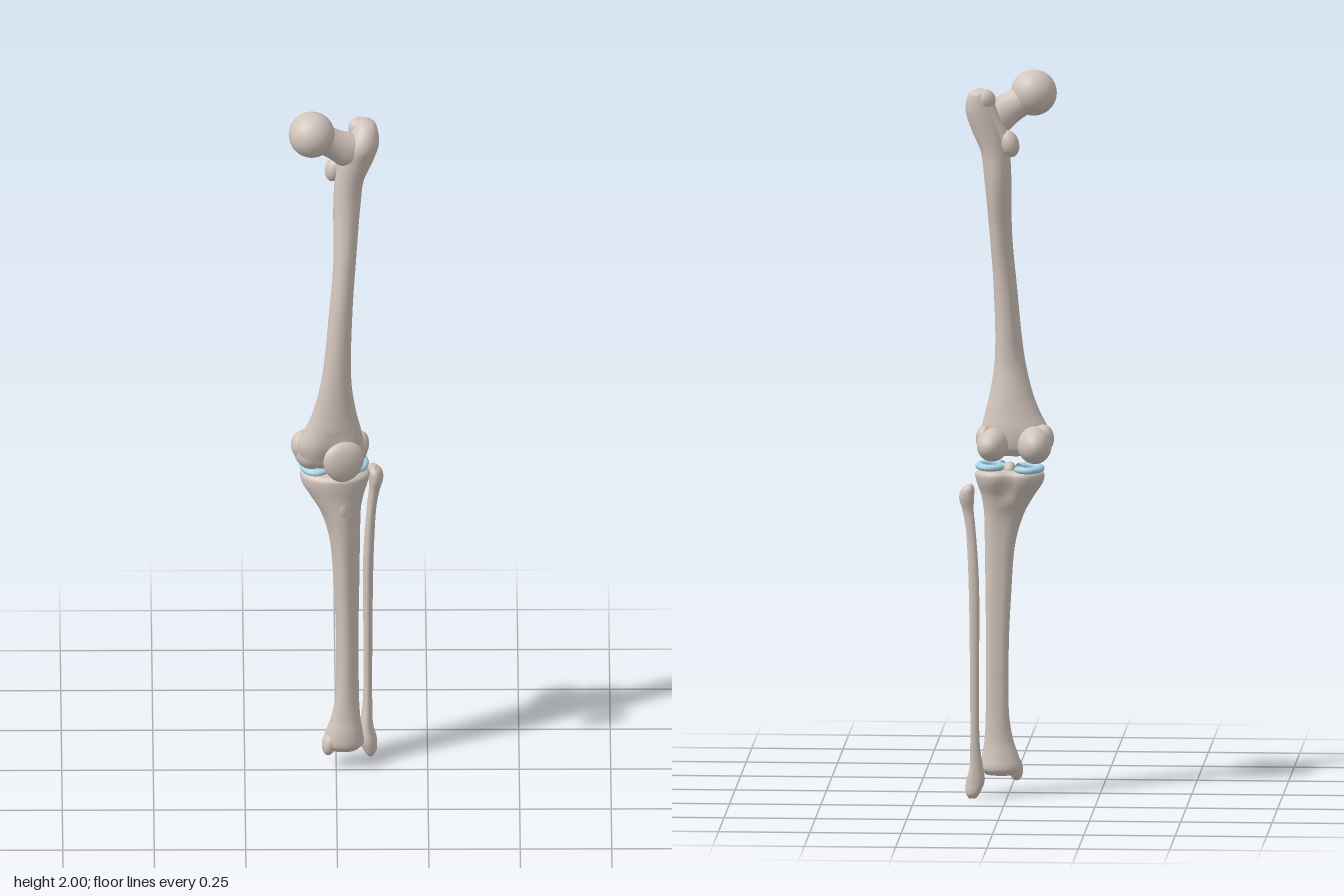
import * as THREE from 'three';

const bone = new THREE.MeshStandardMaterial({ color: 0xd2c5bc });
const cartilage = new THREE.MeshStandardMaterial({ color: 0xacd6e8, side: THREE.DoubleSide });

// Smooth closed skin over horizontal oval sections [y, cx, cz, rx, rz], listed bottom to top.
// rule(v, angle, section) may reshape each vertex; angle PI/2 is the front.
function loft(sections, { rings = 60, sides = 28, rule } = {}) {
  const spine = new THREE.CatmullRomCurve3(sections.map(([y, x, z]) => new THREE.Vector3(x, y, z)));
  const radii = new THREE.CatmullRomCurve3(sections.map(([y, , , rx, rz]) => new THREE.Vector3(rx, y, rz)));
  const pos = [], index = [];
  for (let i = 0; i <= rings; i++) {
    const c = spine.getPoint(i / rings), r = radii.getPoint(i / rings);
    for (let j = 0; j < sides; j++) {
      const a = (j / sides) * Math.PI * 2;
      const v = new THREE.Vector3(c.x + r.x * Math.cos(a), c.y, c.z + r.z * Math.sin(a));
      if (rule) rule(v, a, c);
      pos.push(v.x, v.y, v.z);
      if (i < rings) {
        const k = (j + 1) % sides, p = i * sides, q = p + sides;
        index.push(p + j, q + j, p + k, p + k, q + j, q + k);
      }
    }
  }
  const low = pos.length / 3, last = rings * sides;
  for (const t of [0, 1]) {
    const c = spine.getPoint(t);
    pos.push(c.x, c.y, c.z);
  }
  for (let j = 0; j < sides; j++) {
    const k = (j + 1) % sides;
    index.push(low, j, k, low + 1, last + k, last + j);
  }
  const g = new THREE.BufferGeometry();
  g.setAttribute('position', new THREE.Float32BufferAttribute(pos, 3));
  g.setIndex(index);
  g.computeVertexNormals();
  return g;
}

function add(parent, name, geometry, material = bone) {
  const mesh = new THREE.Mesh(geometry, material);
  mesh.name = name;
  parent.add(mesh);
  return mesh;
}

function blob(parent, name, center, size, turn = [0, 0, 0]) {
  const mesh = add(parent, name, new THREE.SphereGeometry(1, 28, 20));
  mesh.position.set(...center);
  mesh.scale.set(...size);
  mesh.rotation.set(...turn);
  return mesh;
}

// Loft along a slanted axis; stations are [fraction of length, radius across, radius deep]
function limb(parent, name, from, to, stations) {
  const a = new THREE.Vector3(...from), d = new THREE.Vector3(...to).sub(a);
  const len = d.length();
  const mesh = add(parent, name, loft(stations.map(([t, rx, rz]) => [t * len, 0, 0, rx, rz]), { rings: 16 }));
  mesh.position.copy(a);
  mesh.quaternion.setFromUnitVectors(new THREE.Vector3(0, 1, 0), d.normalize());
  return mesh;
}

function buildFemur() {
  const g = new THREE.Group();
  g.name = 'femur';
  add(g, 'femurShaft', loft([
    [0.935, -0.015, 0.015, 0.05, 0.03],
    [0.955, -0.016, 0.015, 0.078, 0.045],
    [1.0, -0.016, 0.018, 0.092, 0.052],
    [1.05, -0.009, 0.022, 0.076, 0.048],
    [1.1, -0.005, 0.026, 0.06, 0.044],
    [1.2, 0, 0.033, 0.041, 0.037],
    [1.4, 0.012, 0.025, 0.032, 0.035],
    [1.55, 0.023, 0.004, 0.031, 0.038],
    [1.7, 0.029, -0.026, 0.037, 0.042],
    [1.78, 0.036, -0.031, 0.04, 0.043],
    [1.84, 0.053, -0.031, 0.048, 0.048],
    [1.89, 0.07, -0.03, 0.047, 0.053],
    [1.925, 0.078, -0.037, 0.036, 0.046],
    [1.945, 0.079, -0.045, 0.026, 0.034],
    [1.955, 0.076, -0.048, 0.008, 0.012],
  ], {
    rings: 90,
    // shallow groove for the kneecap, and a ridge down the back of the shaft
    rule(v, a, c) {
      const groove = Math.max(0, 1 - Math.abs(v.y - 0.97) / 0.09);
      if (Math.sin(a) > 0) v.z -= 0.016 * groove * Math.exp(-(((v.x - c.x) / 0.03) ** 2));
      const ridge = THREE.MathUtils.smoothstep(v.y, 1.15, 1.3) * (1 - THREE.MathUtils.smoothstep(v.y, 1.65, 1.8));
      if (Math.sin(a) < -0.9) v.z -= 0.005 * ridge;
    },
  }));
  blob(g, 'femoralHead', [-0.067, 1.937, 0.012], [0.063, 0.063, 0.064]);
  limb(g, 'femoralNeck', [0.075, 1.85, -0.034], [-0.062, 1.934, 0.01],
    [[0, 0.05, 0.04], [0.3, 0.052, 0.042], [0.55, 0.044, 0.038], [0.75, 0.042, 0.038], [1, 0.048, 0.046]]);
  blob(g, 'greaterTrochanterTip', [0.062, 1.925, -0.058], [0.03, 0.03, 0.024], [0, 0.5, 0.3]);
  limb(g, 'trochantericCrest', [-0.004, 1.79, -0.046], [0.066, 1.925, -0.054],
    [[0, 0.016, 0.02], [0.4, 0.019, 0.021], [1, 0.022, 0.024]]);
  blob(g, 'lesserTrochanter', [-0.004, 1.805, -0.05], [0.026, 0.038, 0.028], [0, 0, -0.3]);

  // Rounded condyles with a notch between them
  blob(g, 'medialCondyle', [-0.071, 0.968, -0.022], [0.047, 0.052, 0.073], [0, 0.12, 0]);
  blob(g, 'lateralCondyle', [0.043, 0.968, -0.022], [0.043, 0.046, 0.073], [0, -0.12, 0]);
  blob(g, 'medialEpicondyle', [-0.094, 0.985, -0.012], [0.03, 0.038, 0.038]);
  blob(g, 'lateralEpicondyle', [0.068, 0.985, -0.018], [0.022, 0.035, 0.035]);
  return g;
}

function buildTibia() {
  const g = new THREE.Group();
  g.name = 'tibia';
  add(g, 'tibiaShaft', loft([
    [0.058, 0.02, -0.028, 0.042, 0.032],
    [0.075, 0.02, -0.028, 0.056, 0.042],
    [0.11, 0.022, -0.026, 0.05, 0.039],
    [0.15, 0.026, -0.026, 0.04, 0.032],
    [0.22, 0.03, -0.027, 0.032, 0.028],
    [0.4, 0.03, -0.025, 0.03, 0.03],
    [0.55, 0.028, -0.019, 0.034, 0.036],
    [0.7, 0.023, -0.012, 0.041, 0.044],
    [0.78, 0.012, -0.014, 0.054, 0.05],
    [0.83, 0.002, -0.022, 0.073, 0.06],
    [0.87, -0.004, -0.032, 0.092, 0.073],
    [0.892, -0.004, -0.034, 0.094, 0.074],
    [0.902, -0.004, -0.034, 0.082, 0.064],
  ], {
    rings: 80, sides: 32,
    // three-sided shin with a front crest; the plateau is hollowed at the back
    rule(v, a, c) {
      const shin = THREE.MathUtils.smoothstep(v.y, 0.15, 0.3) * (1 - THREE.MathUtils.smoothstep(v.y, 0.75, 0.85));
      const k = 1 + 0.09 * shin * Math.cos(3 * (a - Math.PI / 2));
      v.x = c.x + (v.x - c.x) * k;
      v.z = c.z + (v.z - c.z) * k;
      const top = THREE.MathUtils.smoothstep(v.y, 0.8, 0.87);
      if (Math.sin(a) < 0) v.z += 0.022 * top * Math.exp(-(((v.x - c.x) / 0.025) ** 2));
    },
  }));
  blob(g, 'tibialTuberosity', [0.015, 0.8, 0.02], [0.022, 0.045, 0.02]);
  blob(g, 'intercondylarEminence', [-0.004, 0.9, -0.035], [0.018, 0.024, 0.028]);
  blob(g, 'medialMalleolus', [-0.019, 0.075, -0.02], [0.02, 0.035, 0.03], [0, 0, -0.15]);
  return g;
}

function buildFibula() {
  const g = new THREE.Group();
  g.name = 'fibula';
  add(g, 'fibulaShaft', loft([
    [0.003, 0.094, -0.1, 0.01, 0.016],
    [0.015, 0.093, -0.1, 0.018, 0.025],
    [0.05, 0.086, -0.098, 0.025, 0.028],
    [0.09, 0.083, -0.104, 0.018, 0.023],
    [0.15, 0.086, -0.113, 0.013, 0.017],
    [0.3, 0.087, -0.12, 0.012, 0.015],
    [0.6, 0.089, -0.122, 0.014, 0.017],
    [0.75, 0.098, -0.117, 0.013, 0.016],
    [0.8, 0.105, -0.114, 0.015, 0.019],
    [0.835, 0.109, -0.113, 0.02, 0.028],
    [0.858, 0.106, -0.114, 0.018, 0.026],
    [0.872, 0.1, -0.118, 0.008, 0.013],
  ], {
    rings: 80, sides: 20,
    rule(v, a, c) {
      const k = 1 + 0.08 * Math.cos(3 * (a - Math.PI / 2));
      v.x = c.x + (v.x - c.x) * k;
      v.z = c.z + (v.z - c.z) * k;
    },
  }));
  return g;
}

// Kneecap: rounded disc with a blunt lower point and a ridge on its back
function buildPatella(parent) {
  const geo = new THREE.SphereGeometry(1, 28, 20), p = geo.attributes.position;
  for (let i = 0; i < p.count; i++) {
    const x = p.getX(i), y = p.getY(i), z = p.getZ(i);
    p.setX(i, x * (1 + 0.12 * y));
    if (z < 0) p.setZ(i, z * (1 - 0.25 * Math.abs(x)));
  }
  geo.computeVertexNormals();
  const mesh = add(parent, 'patella', geo);
  mesh.position.set(0.02, 0.99, 0.109);
  mesh.scale.set(0.058, 0.059, 0.028);
  mesh.rotation.y = 0.33;
}

// C-shaped cartilage pads, open toward the middle of the joint
function buildMenisci(parent) {
  for (const [name, x, y, start] of [['lateralMeniscus', 0.045, 0.914, -0.8], ['medialMeniscus', -0.055, 0.907, 0.2]]) {
    const geo = new THREE.TorusGeometry(0.034, 0.011, 10, 32, Math.PI * 1.6);
    geo.rotateZ(start * Math.PI).rotateX(-Math.PI / 2).scale(1, 0.85, 1.42);
    add(parent, name, geo, cartilage).position.set(x, y, -0.045);
  }
}

export function createModel() {
  const model = new THREE.Group();
  model.name = 'legBones';
  model.add(buildFemur(), buildTibia(), buildFibula());
  buildPatella(model);
  buildMenisci(model);
  return model;
}
